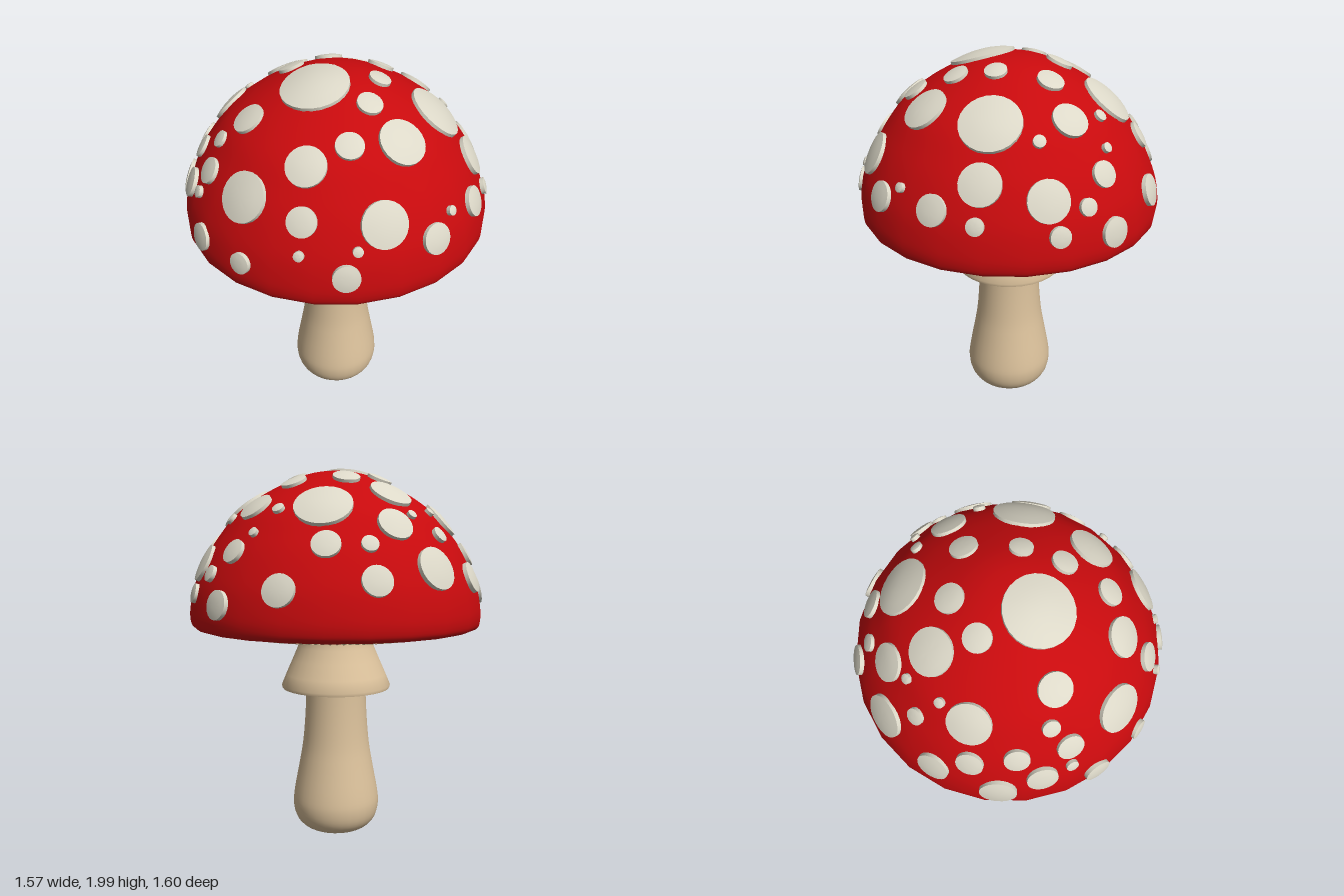
import * as THREE from 'three';
import { toCreasedNormals } from 'three/addons/utils/BufferGeometryUtils.js';

const profile = (points) => points.map(([x, y]) => new THREE.Vector2(x, y));
const smoothProfile = (points, steps) => new THREE.SplineCurve(profile(points)).getPoints(steps);
const radians = THREE.MathUtils.degToRad;
const CENTRE_Y = 1.2;

// Cap outline from rim to crown
const capPoints = smoothProfile([
  [0.73, 1.15], [0.768, 1.165], [0.782, 1.2], [0.782, 1.26], [0.763, 1.36], [0.73, 1.45], [0.68, 1.55],
  [0.62, 1.64], [0.54, 1.74], [0.44, 1.82], [0.32, 1.89], [0.2, 1.945], [0.1, 1.972], [0, 1.98],
], 52);

// Direction by azimuth from the front and angle from straight up
const direction = (azimuth, tilt) => new THREE.Vector3().setFromSphericalCoords(1, tilt, azimuth);

// Point where a direction from the cap's centre meets its surface
function capSurface(dir) {
  const tilt = Math.acos(THREE.MathUtils.clamp(dir.y, -1, 1));
  const tiltOf = (p) => Math.atan2(p.x, p.y - CENTRE_Y);
  const distanceOf = (p) => Math.hypot(p.x, p.y - CENTRE_Y);
  const i = Math.max(1, capPoints.findIndex((p) => tiltOf(p) <= tilt));
  const a = capPoints[i - 1], b = capPoints[i];
  const distance = THREE.MathUtils.mapLinear(tilt, tiltOf(a), tiltOf(b), distanceOf(a), distanceOf(b));
  const point = dir.clone().multiplyScalar(distance);
  point.y += CENTRE_Y;
  return point;
}

// Main spots: azimuth and tilt in degrees, radius
const MAIN_SPOTS = [
  [17, 12.6, 0.17], [222, 40.5, 0.145], [134, 39.8, 0.15], [184, 23, 0.067], [241, 19, 0.07],
  [270, 32.7, 0.11], [293, 19, 0.066], [127, 16, 0.055], [84, 22.4, 0.062], [90, 39.6, 0.115],
  [60, 37.3, 0.066], [38.6, 44.7, 0.095], [350, 36.5, 0.08], [13.8, 60, 0.12], [306, 47, 0.105],
  [270, 68.6, 0.11], [257, 50.4, 0.09], [225, 59, 0.07], [209, 76, 0.08], [183, 62, 0.063],
  [177, 41, 0.088], [158, 67, 0.1], [133, 61.4, 0.1], [116, 72, 0.075], [90, 74.3, 0.075],
  [70.5, 64.4, 0.11], [40, 62.8, 0.07], [56, 81, 0.065], [327, 59.8, 0.06], [348.5, 59.8, 0.065],
  [309, 63.6, 0.065], [295.5, 72.8, 0.08], [336, 71.2, 0.075], [320, 78, 0.09], [357, 82, 0.068],
  [18.5, 82, 0.052], [243.4, 72.7, 0.075], [182.5, 82, 0.073], [161, 79, 0.05],
];

// All spots: small ones are spread by the golden angle into gaps between the main ones
function layOutSpots() {
  const spots = MAIN_SPOTS.map(([azimuth, tilt, radius]) => ({ azimuth: radians(azimuth), tilt: radians(tilt), radius }));
  const total = spots.length + 14;
  for (let k = 1; k < 400 && spots.length < total; k++) {
    const spot = { azimuth: radians(137.5 * k), tilt: radians(32 + (k * 17) % 46), radius: 0.024 + (k % 4) * 0.006 };
    const dir = direction(spot.azimuth, spot.tilt);
    const clear = spots.every((other) =>
      dir.angleTo(direction(other.azimuth, other.tilt)) * 0.76 > spot.radius + other.radius + 0.025);
    if (clear) spots.push(spot);
  }
  return spots;
}

// A shallow disc bent to follow the cap
function spotGeometry({ azimuth, tilt, radius }) {
  const geometry = new THREE.LatheGeometry(
    profile([[radius, -0.012], [radius, 0.015], [radius * 0.65, 0.018], [radius * 0.3, 0.019], [0, 0.019]]), 24);
  const centre = capSurface(direction(azimuth, tilt));
  const side = new THREE.Vector3(Math.cos(azimuth), 0, -Math.sin(azimuth));
  const down = capSurface(direction(azimuth, tilt + 0.04)).sub(capSurface(direction(azimuth, tilt - 0.04))).normalize();
  const normal = down.clone().cross(side);
  const position = geometry.attributes.position;
  for (let k = 0; k < position.count; k++) {
    const flat = centre.clone()
      .addScaledVector(side, position.getX(k))
      .addScaledVector(down, position.getZ(k));
    flat.y -= CENTRE_Y;
    const p = capSurface(flat.normalize()).addScaledVector(normal, position.getY(k));
    position.setXYZ(k, p.x, p.y, p.z);
  }
  return toCreasedNormals(geometry, 0.8);
}

// Radial gills: a pleated ring with thin ridges hanging below deeper valleys
function gillGeometry() {
  const count = 110, steps = count * 4;
  // Radius, ridge height, valley height
  const sections = [[0.65, 1.138, 1.142], [0.56, 1.122, 1.155], [0.45, 1.116, 1.165], [0.3, 1.122, 1.168], [0.17, 1.14, 1.17]];
  const n = sections.length;
  const vertices = [], index = [];
  for (let j = 0; j <= steps; j++) {
    const turn = (Math.floor(j / 2) + (j % 2) * 0.35) / (count * 2) * Math.PI * 2;
    for (const [r, ridge, valley] of sections) {
      vertices.push(Math.sin(turn) * r, j % 4 < 2 ? ridge : valley, Math.cos(turn) * r);
    }
  }
  for (let j = 0; j < steps; j++) {
    for (let i = 0; i < n - 1; i++) {
      const a = j * n + i, b = a + 1, c = a + n, d = c + 1;
      index.push(a, b, c, b, d, c);
    }
  }
  const geometry = new THREE.BufferGeometry();
  geometry.setAttribute('position', new THREE.Float32BufferAttribute(vertices, 3));
  geometry.setIndex(index);
  return toCreasedNormals(geometry, 0.5);
}

export function createModel() {
  const material = (name, color, side = THREE.FrontSide) => {
    const m = new THREE.MeshStandardMaterial({ color, side });
    m.name = name;
    return m;
  };
  const red = material('cap red', 0xc80a0d);
  const cream = material('spot cream', 0xdcd8c8);
  const beige = material('stem beige', 0xdcc29c, THREE.DoubleSide);

  const model = new THREE.Group();
  model.name = 'mushroom';
  const add = (name, geometry, mat, parent = model) => {
    const mesh = new THREE.Mesh(geometry, mat);
    mesh.name = name;
    parent.add(mesh);
  };

  // Cap and its raised spots
  add('cap', new THREE.LatheGeometry(capPoints, 24), red);
  const spots = new THREE.Group();
  spots.name = 'spots';
  model.add(spots);
  for (const spot of layOutSpots()) add('spot', spotGeometry(spot), cream, spots);

  // Underside
  add('undersideRim', new THREE.LatheGeometry(profile([[0.645, 1.138], [0.73, 1.15]]), 24), beige);
  add('gills', gillGeometry(), beige);

  // Stem with a bulbous foot
  const stem = smoothProfile([
    [0, 0], [0.12, 0.006], [0.185, 0.03], [0.225, 0.08], [0.24, 0.15], [0.233, 0.23],
    [0.205, 0.38], [0.185, 0.5], [0.172, 0.65], [0.165, 0.81], [0.162, 1.0],
  ], 36);
  add('stem', new THREE.LatheGeometry(stem, 32), beige);

  // Flared skirt, hollow underneath
  const skirt = profile([
    [0.165, 0.98], [0.2, 0.93], [0.265, 0.83], [0.28, 0.81], [0.296, 0.813], [0.3, 0.83], [0.275, 0.89],
    [0.24, 0.97], [0.21, 1.04], [0.197, 1.09], [0.2, 1.13], [0.215, 1.17],
  ]);
  add('skirt', toCreasedNormals(new THREE.LatheGeometry(skirt, 32), 0.9), beige);

  return model;
}
